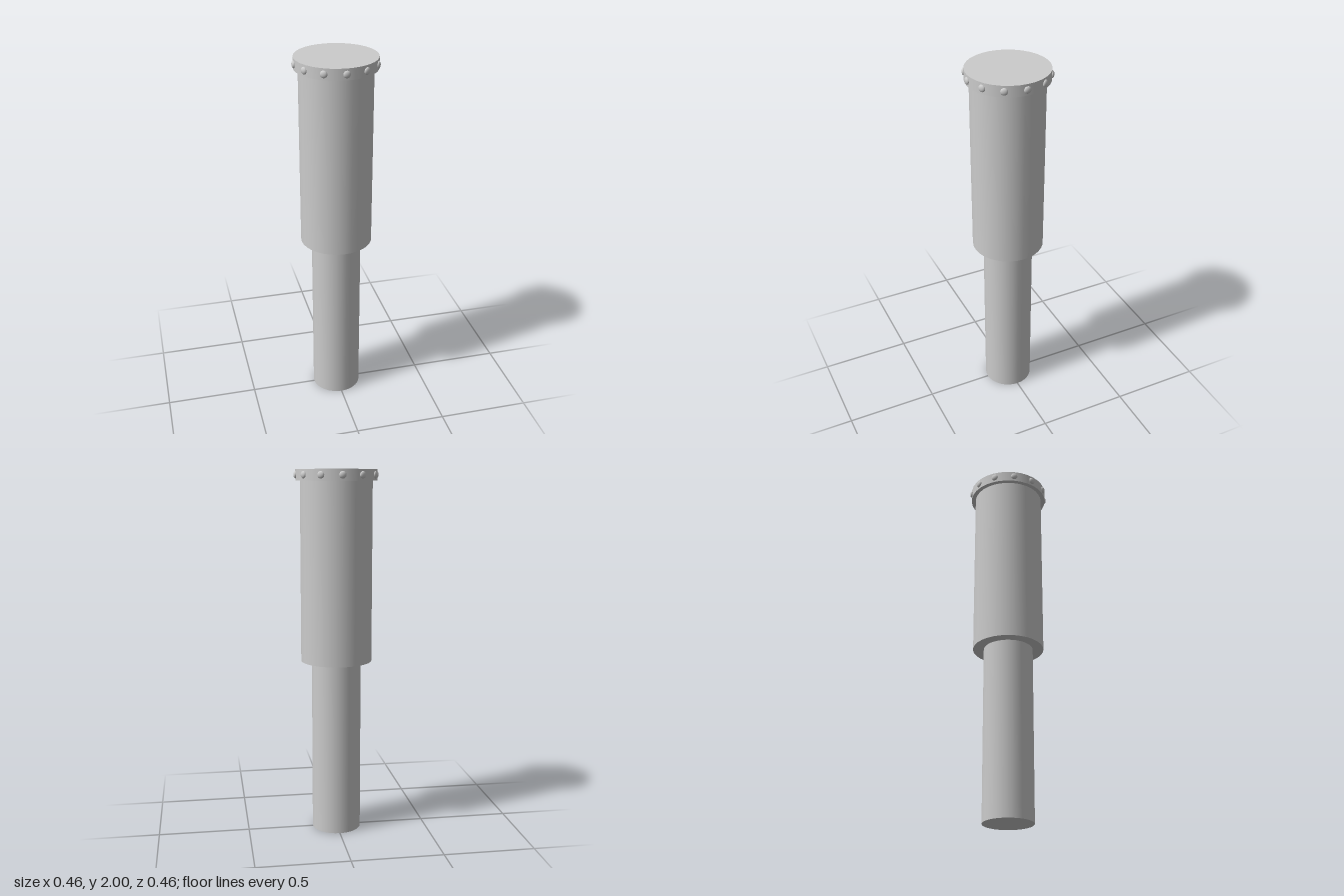
import * as THREE from 'three';

const material = new THREE.MeshStandardMaterial({ color: 0xcccccc });

// Upright smooth cylinder between two heights
function column(name, radius, bottom, top) {
  const mesh = new THREE.Mesh(new THREE.CylinderGeometry(radius, radius, top - bottom, 32), material);
  mesh.name = name;
  mesh.position.y = (bottom + top) / 2;
  return mesh;
}

export function createModel() {
  const model = new THREE.Group();
  model.name = 'telescopingPost';

  const capRadius = 0.218;
  model.add(
    column('lowerShaft', 0.135, 0, 0.965),
    column('upperSleeve', 0.194, 0.965, 1.94),
    column('cap', capRadius, 1.94, 2),
  );

  // Ring of flattened round rivets around the cap rim
  const rivets = new THREE.Group();
  rivets.name = 'capRivets';
  const rivetGeometry = new THREE.SphereGeometry(0.019, 16, 12);
  rivetGeometry.scale(1, 1, 0.55);
  const count = 12;
  for (let i = 0; i < count; i++) {
    const angle = (i / count) * Math.PI * 2;
    const rivet = new THREE.Mesh(rivetGeometry, material);
    rivet.name = 'rivet';
    rivet.position.set(Math.sin(angle) * capRadius, 1.97, Math.cos(angle) * capRadius);
    rivet.rotation.y = angle;
    rivets.add(rivet);
  }
  model.add(rivets);

  return model;
}
